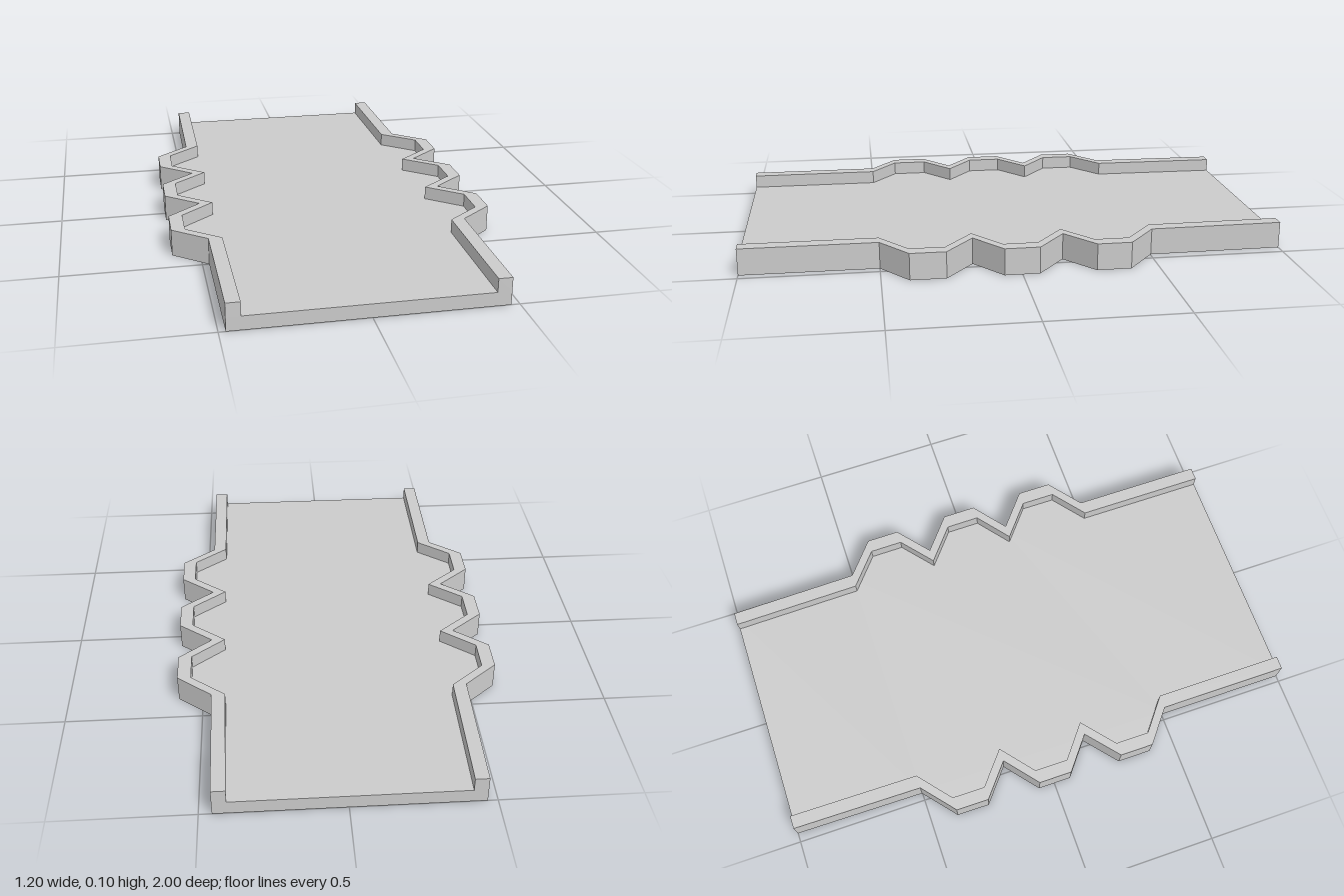
import * as THREE from 'three';

const WALL = 0.05;   // thickness of the side kerbs
const FLOOR = 0.05;  // slab height
const TOP = 0.1;     // kerb height

// Outer edges as [x, z], from the front to the back
const zs = [1, 0.5, 0.4, 0.27, 0.165, 0.065, -0.063, -0.167, -0.27, -0.396, -0.502, -1];
const leftX = [0.47, 0.47, 0.596, 0.596, 0.469, 0.595, 0.594, 0.467, 0.591, 0.59, 0.462, 0.455];
const rightX = [-0.476, -0.476, -0.6, -0.6, -0.476, -0.6, -0.6, -0.474, -0.598, -0.597, -0.471, -0.465];
const edge = (xs, shift = 0) => zs.map((z, i) => new THREE.Vector2(xs[i] + shift, z));

// Flat prism with a plan outline in x and z, between two heights
function slab(name, outline, y0, y1) {
  const geometry = new THREE.ExtrudeGeometry(new THREE.Shape(outline), { depth: y1 - y0, bevelEnabled: false });
  geometry.rotateX(Math.PI / 2).translate(0, y1, 0);
  const mesh = new THREE.Mesh(geometry, new THREE.MeshStandardMaterial({ color: 0xcccccc, flatShading: true }));
  mesh.name = name;
  return mesh;
}

export function createModel() {
  const group = new THREE.Group();
  group.name = 'notchedChannel';

  // Floor plate with the toothed sides
  group.add(slab('floor', [...edge(leftX), ...edge(rightX).reverse()], 0, FLOOR));

  // Kerbs that follow each side, inset by the wall thickness
  group.add(slab('leftKerb', [...edge(leftX), ...edge(leftX, -WALL).reverse()], FLOOR, TOP));
  group.add(slab('rightKerb', [...edge(rightX), ...edge(rightX, WALL).reverse()], FLOOR, TOP));

  return group;
}
